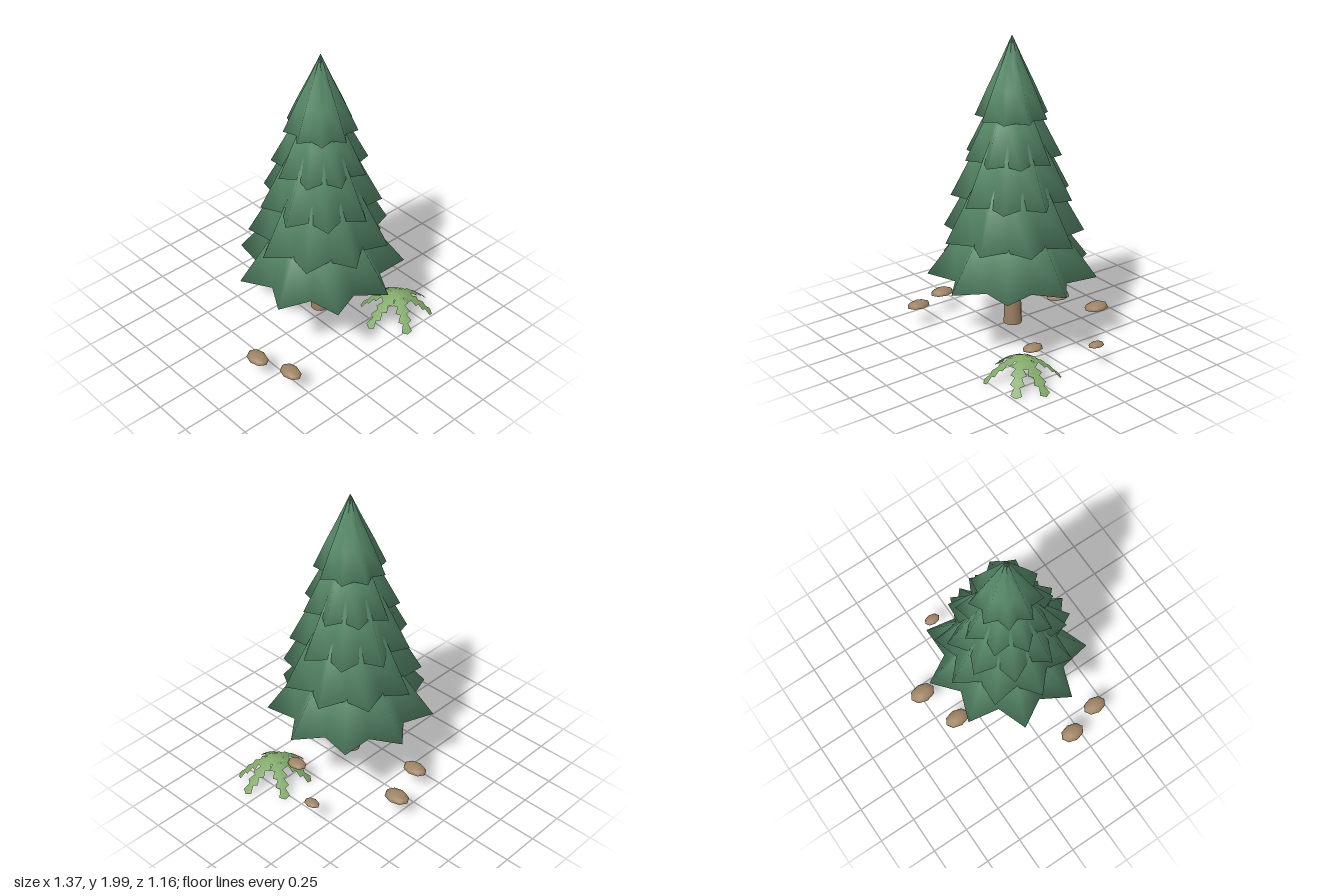
import * as THREE from 'three';
import { mergeGeometries } from 'three/addons/utils/BufferGeometryUtils.js';

const mat = (name, color, side = THREE.FrontSide) => {
  const m = new THREE.MeshStandardMaterial({ color, side });
  m.name = name;
  return m;
};

const POINTS = 9; // star points on every foliage tier

function indexed(pos, idx) {
  const g = new THREE.BufferGeometry();
  g.setAttribute('position', new THREE.Float32BufferAttribute(pos, 3));
  g.setIndex(idx);
  g.computeVertexNormals();
  return g;
}

// Smooth surface through star-shaped rings; each ring is [tip radius, y, notch depth]
function starLoft(rings, turn) {
  const n = POINTS * 2, pos = [], idx = [];
  for (const [r, y, notch] of rings) {
    for (let k = 0; k < n; k++) {
      const a = turn + (k / n) * Math.PI * 2;
      const q = r * (k % 2 ? 1 - notch : 1);
      pos.push(Math.cos(a) * q, y, Math.sin(a) * q);
    }
  }
  for (let i = 0; i < rings.length - 1; i++) {
    for (let k = 0; k < n; k++) {
      const a = i * n + k, b = i * n + ((k + 1) % n);
      idx.push(a, b, a + n, b, b + n, a + n);
    }
  }
  return indexed(pos, idx);
}

// Arching, toothed leaf along +x that narrows to a point
function frondGeometry(length) {
  const teeth = 5, pos = [], idx = [];
  const height = (s) => 0.172 - 0.04 * s - 0.12 * s * s;
  const addRow = (t, w, sweep) => {
    const s = t + sweep;
    pos.push(t * length, height(t), 0);
    pos.push(s * length, height(s) - w * 0.15, w, s * length, height(s) - w * 0.15, -w);
  };
  for (let i = 0; i < teeth; i++) {
    const t = i / teeth;
    const w = 0.054 - 0.03 * t * t;
    addRow(t, w * 0.5, 0);
    addRow(t + 0.09, w, 0.05);
  }
  addRow(1, 0.001, 0);
  for (let i = 0; i < teeth * 2; i++) {
    const a = i * 3, b = a + 3;
    idx.push(a, a + 1, b, a + 1, b + 1, b, a, b, a + 2, a + 2, b, b + 2);
  }
  return indexed(pos, idx);
}

export function createModel() {
  const model = new THREE.Group();
  model.name = 'pineTree';
  const foliage = mat('foliageGreen', 0x568868);
  const bark = mat('barkBrown', 0x9a7f62);
  const stone = mat('stoneBrown', 0x9f8465);
  const leaf = mat('fernGreen', 0x82aa6a, THREE.DoubleSide);
  const add = (parent, name, geometry, material) => {
    const m = new THREE.Mesh(geometry, material);
    m.name = name;
    parent.add(m);
    return m;
  };

  const tree = new THREE.Group();
  tree.name = 'tree';
  tree.position.set(-0.01, 0, 0.055);
  model.add(tree);

  // Trunk
  add(tree, 'trunk', new THREE.CylinderGeometry(0.043, 0.058, 0.5, 12), bark).position.y = 0.4;

  // Foliage tiers: tip radius, tip height, apex height; each turned a little further
  const tiers = [
    [0.53, 0.51, 1.2],
    [0.443, 0.76, 1.54],
    [0.376, 1.01, 1.72],
    [0.298, 1.26, 1.83],
    [0.224, 1.51, 2.0],
  ];
  tiers.forEach(([r, y, apex], i) => {
    const h = apex - y;
    const rings = [
      [0.001, apex, 0.25],
      [r * 0.3, y + h * 0.7, 0.25],
      [r * 0.65, y + h * 0.36, 0.26],
      [r, y, 0.26],
      // underside and hollow around the trunk
      [r * 0.36, y - r * 0.13, 0.2],
      [r * 0.2, y + h * 0.2, 0.1],
      [0.001, y + h * 0.3, 0.1],
    ];
    add(tree, 'foliageTier' + (i + 1), starLoft(rings, i * 0.39), foliage);
  });

  // Stones with flat bottoms: x, z, half width, half depth, height
  const stoneShape = mergeGeometries([
    new THREE.SphereGeometry(1, 8, 3, 0, Math.PI * 2, 0, Math.PI / 2),
    new THREE.CircleGeometry(1, 8).rotateX(Math.PI / 2),
  ]);
  [
    [-0.63, 0.175, 0.058, 0.082, 0.036],
    [-0.56, 0.405, 0.056, 0.08, 0.034],
    [-0.12, -0.4, 0.058, 0.085, 0.036],
    [0.155, -0.495, 0.063, 0.087, 0.038],
    [0.558, -0.155, 0.038, 0.055, 0.023],
    [0.36, 0.18, 0.05, 0.07, 0.03],
  ].forEach(([x, z, w, d, h], i) => {
    const s = add(model, 'stone' + (i + 1), stoneShape, stone);
    s.position.set(x, 0.15, z);
    s.scale.set(w, h, d);
  });

  // Fern: frond direction in degrees, and length
  const fern = new THREE.Group();
  fern.name = 'fern';
  fern.position.set(0.43, 0, 0.315);
  model.add(fern);
  [[-62, 0.24], [2, 0.25], [46, 0.235], [116, 0.235], [180, 0.25], [238, 0.24]].forEach(([deg, len], i) => {
    add(fern, 'frond' + (i + 1), frondGeometry(len), leaf).rotation.y = -THREE.MathUtils.degToRad(deg);
  });

  return model;
}
